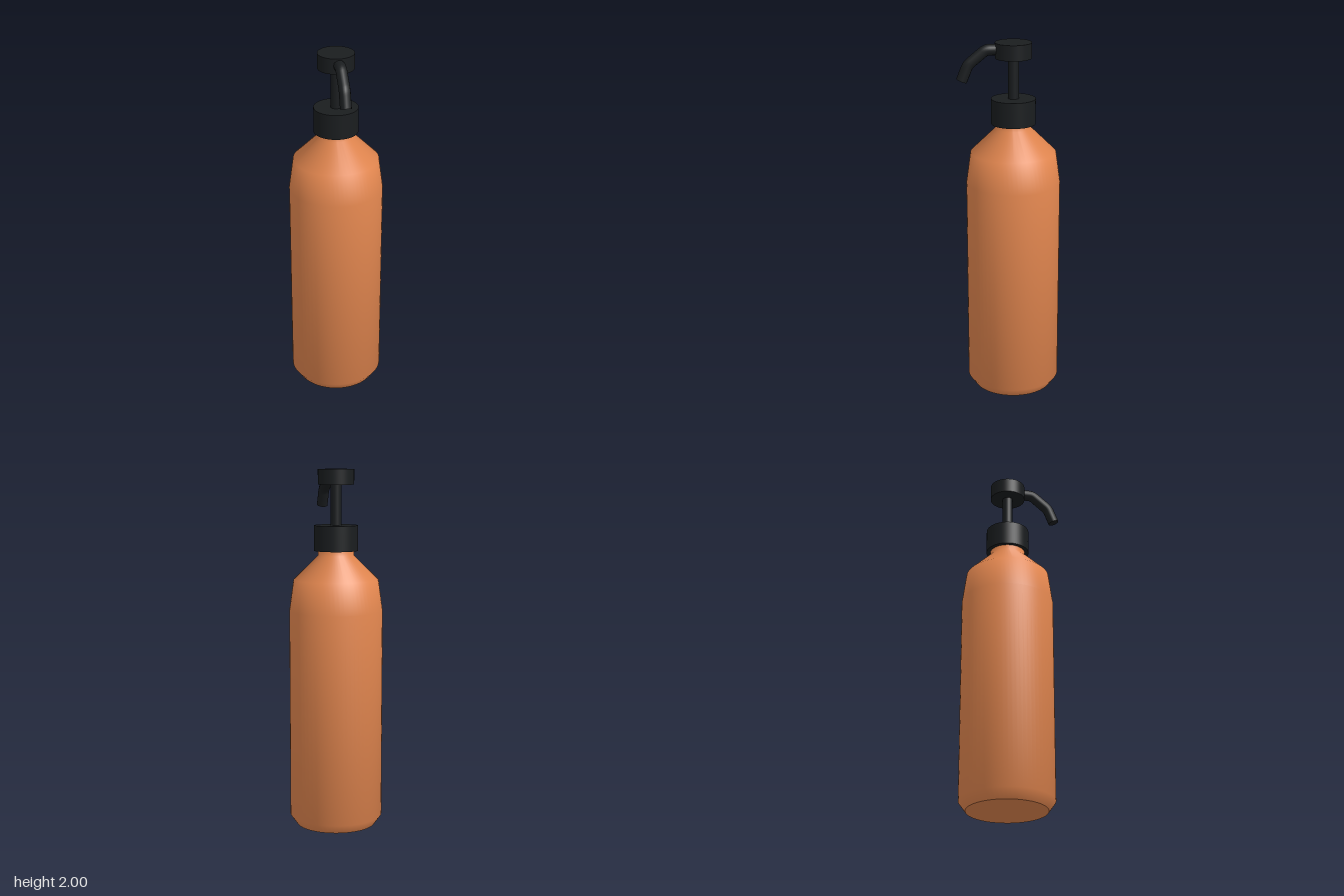
import * as THREE from 'three';
import { toCreasedNormals } from 'three/addons/utils/BufferGeometryUtils.js';

const AXIS_Z = -0.024;

export function createModel() {
  const model = new THREE.Group();
  model.name = 'pumpBottle';
  const orange = new THREE.MeshStandardMaterial({ color: 0xe58850 });
  const black = new THREE.MeshStandardMaterial({ color: 0x1a1d1f });

  const add = (name, geometry, material) => {
    const mesh = new THREE.Mesh(geometry, material);
    mesh.name = name;
    model.add(mesh);
    return mesh;
  };
  const cylinder = (name, radius, bottom, top, segments) => {
    const geometry = new THREE.CylinderGeometry(radius, radius, top - bottom, segments);
    add(name, geometry, black).position.set(0, (bottom + top) / 2, AXIS_Z);
  };

  // Bottle: chamfered foot, straight wall, tapered shoulder, short neck
  const profile = [
    [0, 0], [0.222, 0], [0.26, 0.053], [0.26, 1.22], [0.236, 1.393],
    [0.1, 1.527], [0.1, 1.57], [0, 1.57],
  ].map(([r, y]) => new THREE.Vector2(r, y));
  const body = toCreasedNormals(new THREE.LatheGeometry(profile, 64), 0.85);
  add('bottle', body, orange).position.z = AXIS_Z;

  // Pump: collar, plunger stem and press head
  cylinder('collar', 0.122, 1.553, 1.693, 64);
  cylinder('stem', 0.03, 1.68, 1.93, 24);
  cylinder('pumpHead', 0.1, 1.915, 2, 64);

  // Spout: straight runs joined by tight bends
  const points = [[1.962, 0], [1.962, 0.125], [1.882, 0.222], [1.795, 0.257]]
    .map(([y, z]) => new THREE.Vector3(0, y, z));
  const path = new THREE.CurvePath();
  let from = points[0];
  for (let i = 1; i < points.length - 1; i++) {
    const before = points[i].clone().lerp(points[i - 1], 0.02 / points[i].distanceTo(points[i - 1]));
    const after = points[i].clone().lerp(points[i + 1], 0.02 / points[i].distanceTo(points[i + 1]));
    path.add(new THREE.LineCurve3(from, before));
    path.add(new THREE.QuadraticBezierCurve3(before, points[i], after));
    from = after;
  }
  path.add(new THREE.LineCurve3(from, points[3]));
  add('spout', new THREE.TubeGeometry(path, 40, 0.031, 12), black);

  // Closed end of the spout
  const tip = add('spoutTip', new THREE.CircleGeometry(0.031, 12), black);
  tip.position.copy(points[3]);
  tip.lookAt(points[3].clone().multiplyScalar(2).sub(points[2]));

  return model;
}
